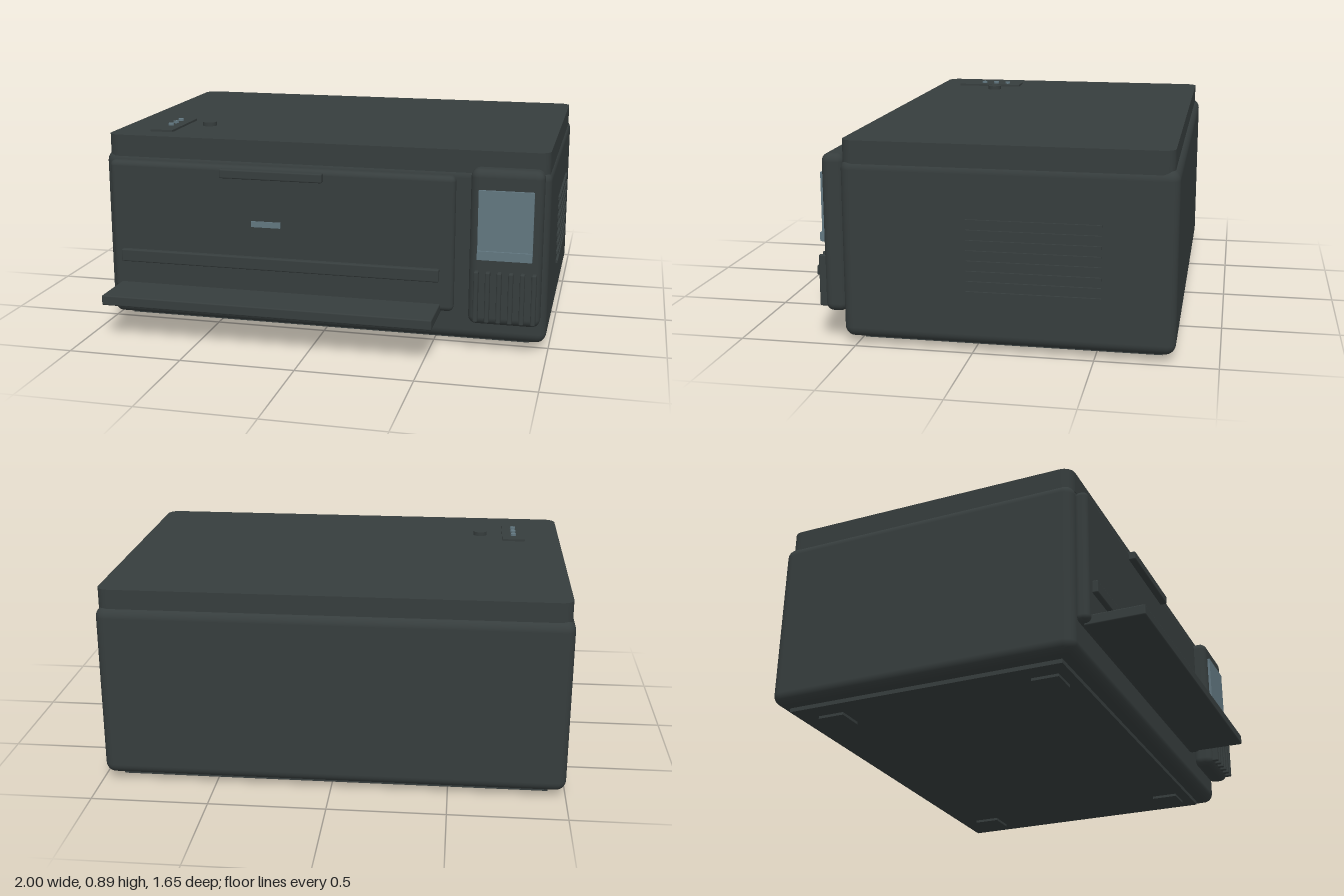
import * as THREE from 'three';
import { RoundedBoxGeometry } from 'three/addons/geometries/RoundedBoxGeometry.js';

const mat = (name, color) => Object.assign(new THREE.MeshStandardMaterial({ color }), { name });

export function createModel() {
  const model = new THREE.Group();
  const charcoal = mat('charcoal casing', 0x363d3d);
  const glass = mat('blue grey display', 0x627780);

  const add = (name, geometry, material, x = 0, y = 0, z = 0) => {
    const mesh = new THREE.Mesh(geometry, material);
    mesh.name = name;
    mesh.position.set(x, y, z);
    model.add(mesh);
    return mesh;
  };
  // Box from its limits on each axis, with optional rounded edges
  const box = (name, [x0, x1], [y0, y1], [z0, z1], radius = 0, material = charcoal) => {
    const size = [x1 - x0, y1 - y0, z1 - z0];
    const geometry = radius
      ? new RoundedBoxGeometry(...size, 4, radius)
      : new THREE.BoxGeometry(...size);
    return add(name, geometry, material, (x0 + x1) / 2, (y0 + y1) / 2, (z0 + z1) / 2);
  };

  // Casing and base
  box('body', [-1, 0.99], [0.03, 0.79], [-0.825, 0.555], 0.045);
  box('base', [-0.925, 0.915], [0.012, 0.04], [-0.77, 0.48]);
  for (const x of [-0.78, 0.77])
    for (const z of [0.37, -0.62])
      box('foot', [x - 0.06, x + 0.06], [0, 0.014], [z - 0.06, z + 0.06]);

  // Lid: flat slab with rounded corners in plan
  const w = 0.985, d = 0.677, r = 0.05;
  const plan = new THREE.Shape();
  plan.absarc(w - r, d - r, r, 0, Math.PI / 2);
  plan.absarc(r - w, d - r, r, Math.PI / 2, Math.PI);
  plan.absarc(r - w, r - d, r, Math.PI, Math.PI * 1.5);
  plan.absarc(w - r, r - d, r, Math.PI * 1.5, Math.PI * 2);
  const slab = new THREE.ExtrudeGeometry(plan, { depth: 0.097, bevelEnabled: false, curveSegments: 6 });
  slab.rotateX(-Math.PI / 2);
  add('lid', slab, charcoal, -0.003, 0.77, -0.127);

  // Button strip with lights, and round power button
  box('buttonStrip', [-0.825, -0.72], [0.86, 0.876], [0.12, 0.44]);
  for (const z of [0.19, 0.252, 0.315])
    add('indicatorLight', new THREE.CylinderGeometry(0.013, 0.013, 0.012, 16), glass, -0.773, 0.88, z);
  add('powerButton', new THREE.CylinderGeometry(0.032, 0.032, 0.024, 24), charcoal, -0.615, 0.873, 0.23);

  // Front door with grip, ledge, badge plate and output tray
  box('frontDoor', [-0.96, 0.595], [0.165, 0.76], [0.545, 0.605], 0.024);
  box('doorGrip', [-0.435, 0.025], [0.71, 0.75], [0.59, 0.635], 0.006);
  box('paperSlot', [-0.91, 0.535], [0.302, 0.358], [0.59, 0.628], 0.006);
  box('badgePlate', [-0.3, -0.168], [0.493, 0.519], [0.602, 0.611], 0, glass);
  box('outputTray', [-0.925, 0.54], [0.155, 0.2], [0.57, 0.825], 0.006);

  // Control tower with display and ribs
  box('controlPanel', [0.663, 0.967], [0.13, 0.805], [0.545, 0.64], 0.035);
  box('display', [0.7, 0.93], [0.425, 0.72], [0.63, 0.652], 0, glass);
  box('displayLowerEdge', [0.7, 0.93], [0.425, 0.463], [0.645, 0.662], 0, glass);
  for (let i = 0; i < 6; i++) {
    const x = 0.698 + i * 0.0485;
    box('panelRib', [x - 0.01, x + 0.01], [0.15, 0.372], [0.625, 0.665], 0.006);
  }

  // Louvres on the left side
  for (let i = 0; i < 8; i++) {
    const y = 0.255 + i * 0.043;
    box('sideLouvre', [0.98, 1], [y - 0.007, y + 0.007], [-0.525, 0.027]);
  }
  return model;
}
